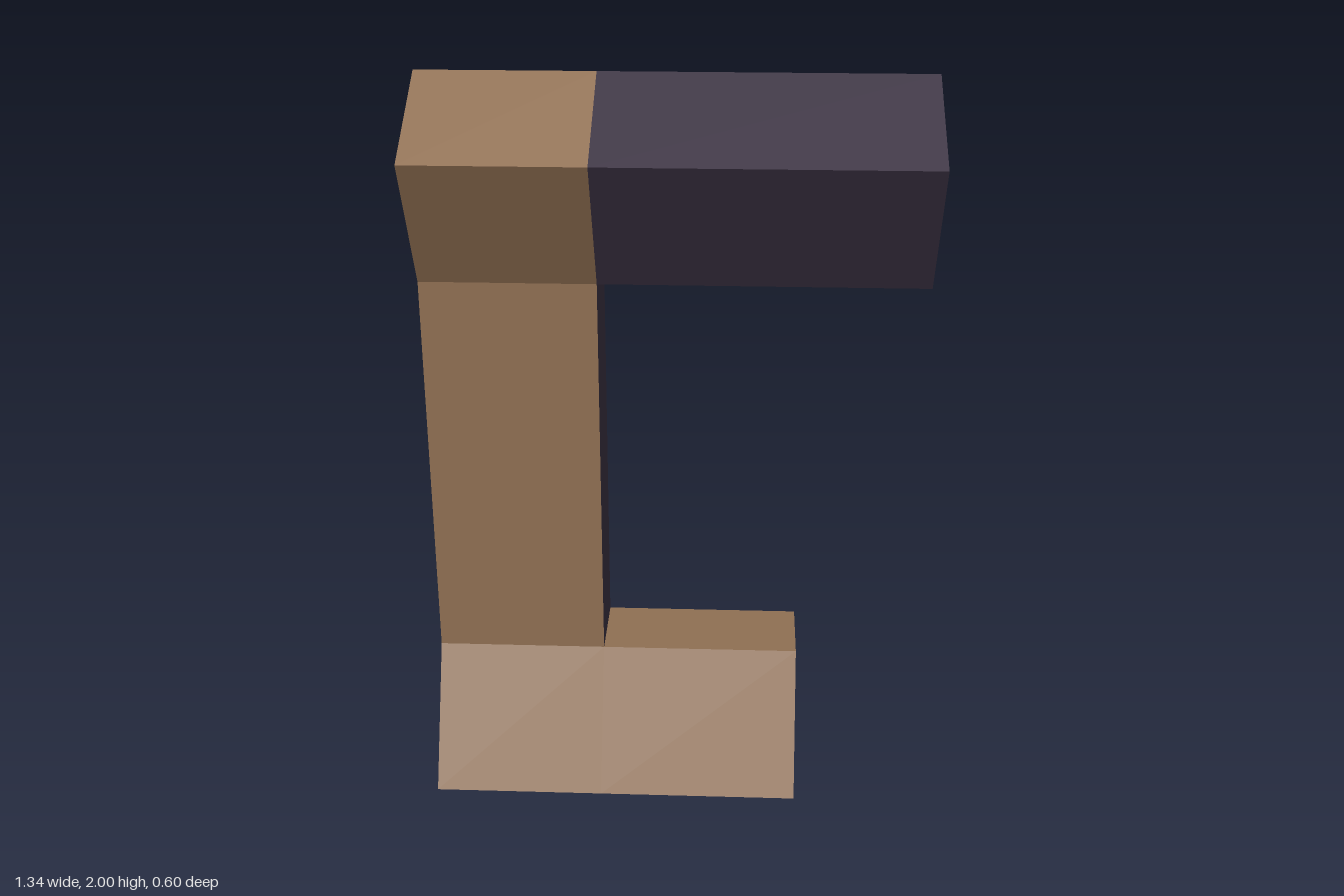
import * as THREE from 'three';

export function createModel() {
  const group = new THREE.Group();
  const brown = new THREE.MeshStandardMaterial({ color: 0x8f6f52 });
  brown.name = 'brown';
  const dark = new THREE.MeshStandardMaterial({ color: 0x393040 });
  dark.name = 'dark plum';

  // Mirrored cross-section of [half depth, height] points, extruded along x
  function prism(name, half, x0, x1, sides, leftCap, rightCap) {
    const mirrored = half.filter(p => p[0] > 0).reverse().map(([z, y]) => [-z, y]);
    const shape = new THREE.Shape([...half, ...mirrored].map(([z, y]) => new THREE.Vector2(z, y)));
    const geo = new THREE.ExtrudeGeometry(shape, { depth: x1 - x0, bevelEnabled: false });
    const [caps, walls] = geo.groups;
    geo.clearGroups();
    geo.addGroup(0, caps.count / 2, 0);
    geo.addGroup(caps.count / 2, caps.count / 2, 1);
    geo.addGroup(walls.start, walls.count, 2);
    geo.rotateY(Math.PI / 2);
    geo.translate(x0, 0, 0);
    const mesh = new THREE.Mesh(geo, [leftCap, rightCap, sides]);
    mesh.name = name;
    group.add(mesh);
  }

  const foot = [[0.298, 0], [0.113, 0.375]];
  const head = [[0.113, 1.47], [0.291, 1.826], [0, 2]];

  // Upright with flared foot and pointed head; its inner face is dark
  prism('upright', [...foot, ...head], -0.67, -0.2, brown, brown, dark);
  // Lower arm with a dark end
  prism('lowerArm', foot, -0.2, 0.35, brown, brown, dark);
  // Upper arm, dark all over
  prism('upperArm', head, -0.2, 0.67, dark, dark, dark);

  return group;
}
